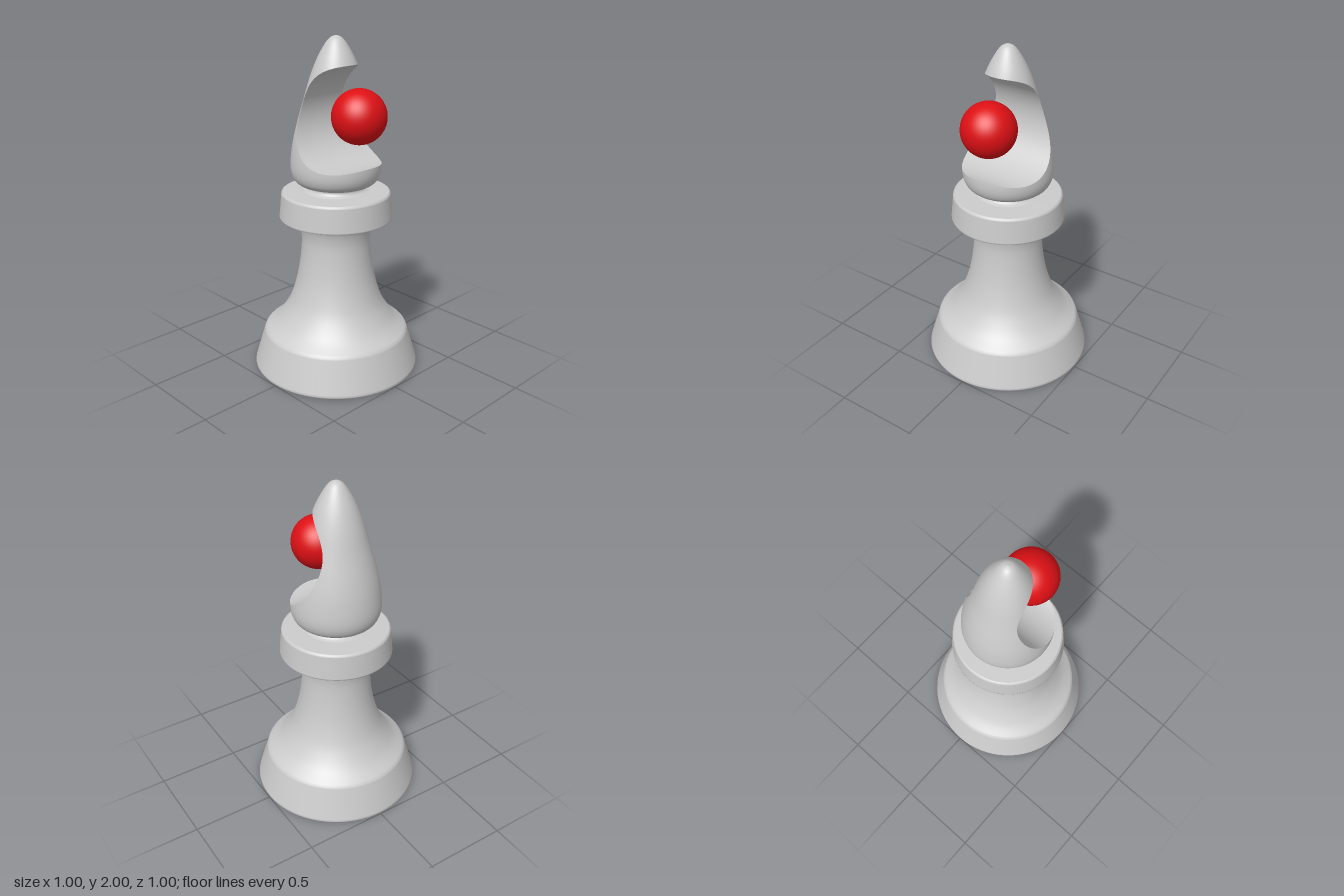
import * as THREE from 'three';

const grey = new THREE.MeshStandardMaterial({ color: 0xcccccc, side: THREE.DoubleSide });
const red = new THREE.MeshStandardMaterial({ color: 0xdd1015 });
const vec = (p) => new THREE.Vector2(p[0], p[1]);

function addMesh(group, name, geometry, material = grey) {
  const mesh = new THREE.Mesh(geometry, material);
  mesh.name = name;
  group.add(mesh);
  return mesh;
}

// Turned part from [radius, height] points; smooth profiles go through a spline
function turned(group, name, points, smooth = false) {
  let profile = points.map(vec);
  if (smooth) profile = new THREE.SplineCurve(profile).getPoints(40);
  return addMesh(group, name, new THREE.LatheGeometry(profile, 72));
}

// Grid surface: at(i, j) returns { p, n }
function gridSurface(cols, rows, at) {
  const pos = [], nor = [], index = [];
  for (let i = 0; i < cols; i++) {
    for (let j = 0; j < rows; j++) {
      const { p, n } = at(i, j);
      pos.push(p.x, p.y, p.z);
      nor.push(n.x, n.y, n.z);
      if (i < cols - 1 && j < rows - 1) {
        const a = i * rows + j, c = a + rows;
        index.push(a, a + 1, c, c, a + 1, c + 1);
      }
    }
  }
  const g = new THREE.BufferGeometry();
  g.setAttribute('position', new THREE.Float32BufferAttribute(pos, 3));
  g.setAttribute('normal', new THREE.Float32BufferAttribute(nor, 3));
  g.setIndex(index);
  return g;
}

// Pointed head with a round notch bored through it along z
function makeHead() {
  const head = new THREE.Group();
  head.name = 'head';
  const cut = { x: 0.175, y: 1.56, r: 0.29 };
  const curve = new THREE.SplineCurve([
    [0.165, 1.145], [0.215, 1.155], [0.25, 1.19], [0.264, 1.26], [0.252, 1.38], [0.225, 1.5],
    [0.188, 1.63], [0.15, 1.76], [0.112, 1.86], [0.07, 1.94], [0.035, 1.985], [0, 2],
  ].map(vec));

  const surfacePoint = (theta, t) => {
    const q = curve.getPoint(t), d = curve.getTangent(t);
    return {
      p: new THREE.Vector3(q.x * Math.cos(theta), q.y, q.x * Math.sin(theta)),
      n: new THREE.Vector3(d.y * Math.cos(theta), -d.x, d.y * Math.sin(theta)).normalize(),
    };
  };
  // Distance outside the notch cylinder
  const gap = (theta, t) => {
    const q = curve.getPoint(t);
    return Math.hypot(q.x * Math.cos(theta) - cut.x, q.y - cut.y) - cut.r;
  };
  const nearest = (theta) => {
    let best = 0;
    for (let k = 1; k <= 400; k++) if (gap(theta, k / 400) < gap(theta, best)) best = k / 400;
    return best;
  };
  const bisect = (outside, inside, f) => {
    for (let k = 0; k < 40; k++) {
      const m = (outside + inside) / 2;
      if (f(m) > 0) outside = m; else inside = m;
    }
    return outside;
  };

  // Columns crowd towards the angle where the notch just touches the surface
  const edgeAngle = bisect(Math.PI, 0, (a) => gap(a, nearest(a)));
  const half = [], N = 36, M = 20;
  for (let i = 0; i <= N; i++) half.push(edgeAngle * (1 - (1 - i / N) ** 2));
  for (let i = 1; i <= M; i++) half.push(edgeAngle + (Math.PI - edgeAngle) * i / M);
  const columns = half.map((theta) => {
    const mid = nearest(theta);
    if (gap(theta, mid) >= 0) return { theta, low: mid, high: mid };
    const f = (t) => gap(theta, t);
    return { theta, low: bisect(0, mid, f), high: bisect(1, mid, f) };
  });
  const all = [...columns.slice(1).reverse().map((c) => ({ ...c, theta: -c.theta })), ...columns];

  // Outer skin below and above the notch
  const rows = 41;
  addMesh(head, 'headLower', gridSurface(all.length, rows, (i, j) =>
    surfacePoint(all[i].theta, all[i].low * j / (rows - 1))));
  addMesh(head, 'headUpper', gridSurface(all.length, rows, (i, j) =>
    surfacePoint(all[i].theta, all[i].high + (1 - all[i].high) * j / (rows - 1))));

  // Notch wall stretched between the front and back rims
  const open = columns.slice(0, N + 1);
  const rim = [
    ...open.map((c) => surfacePoint(c.theta, c.low).p),
    ...open.slice().reverse().map((c) => surfacePoint(c.theta, c.high).p),
  ];
  addMesh(head, 'notchWall', gridSurface(rim.length, 9, (i, j) => {
    const { x, y, z } = rim[i];
    return {
      p: new THREE.Vector3(x, y, z * (1 - j / 4)),
      n: new THREE.Vector3(cut.x - x, cut.y - y, 0).normalize(),
    };
  }));
  return head;
}

export function createModel() {
  const model = new THREE.Group();
  model.name = 'chessPiece';

  // Base
  turned(model, 'baseBottom', [[0, 0], [0.49, 0]]);
  turned(model, 'baseLowerEdge', [[0.49, 0], [0.497, 0.004], [0.5, 0.012], [0.498, 0.022]]);
  turned(model, 'baseSide', [[0.498, 0.022], [0.439, 0.22]]);
  turned(model, 'baseUpperEdge', [[0.439, 0.22], [0.435, 0.23], [0.425, 0.24]]);

  // Flared stem
  turned(model, 'stem', [
    [0.425, 0.24], [0.365, 0.29], [0.315, 0.355], [0.275, 0.43], [0.24, 0.54],
    [0.217, 0.66], [0.205, 0.78], [0.207, 0.85], [0.22, 0.905], [0.243, 0.935], [0.265, 0.943],
  ], true);

  // Collar
  turned(model, 'collarUnderside', [[0.265, 0.943], [0.328, 0.943]]);
  turned(model, 'collarLowerEdge', [[0.328, 0.943], [0.334, 0.946], [0.334, 0.953]]);
  turned(model, 'collarSide', [[0.334, 0.953], [0.321, 1.09]]);
  turned(model, 'collarUpperEdge', [[0.321, 1.09], [0.318, 1.099], [0.31, 1.104]]);
  turned(model, 'collarTop', [[0.31, 1.104], [0.19, 1.108]]);

  // Neck
  turned(model, 'neck', [[0.19, 1.108], [0.172, 1.116], [0.163, 1.13], [0.165, 1.145]], true);

  model.add(makeHead());

  // Ball in the notch
  addMesh(model, 'ball', new THREE.SphereGeometry(0.157, 48, 32), red).position.set(0.185, 1.57, 0);
  return model;
}
